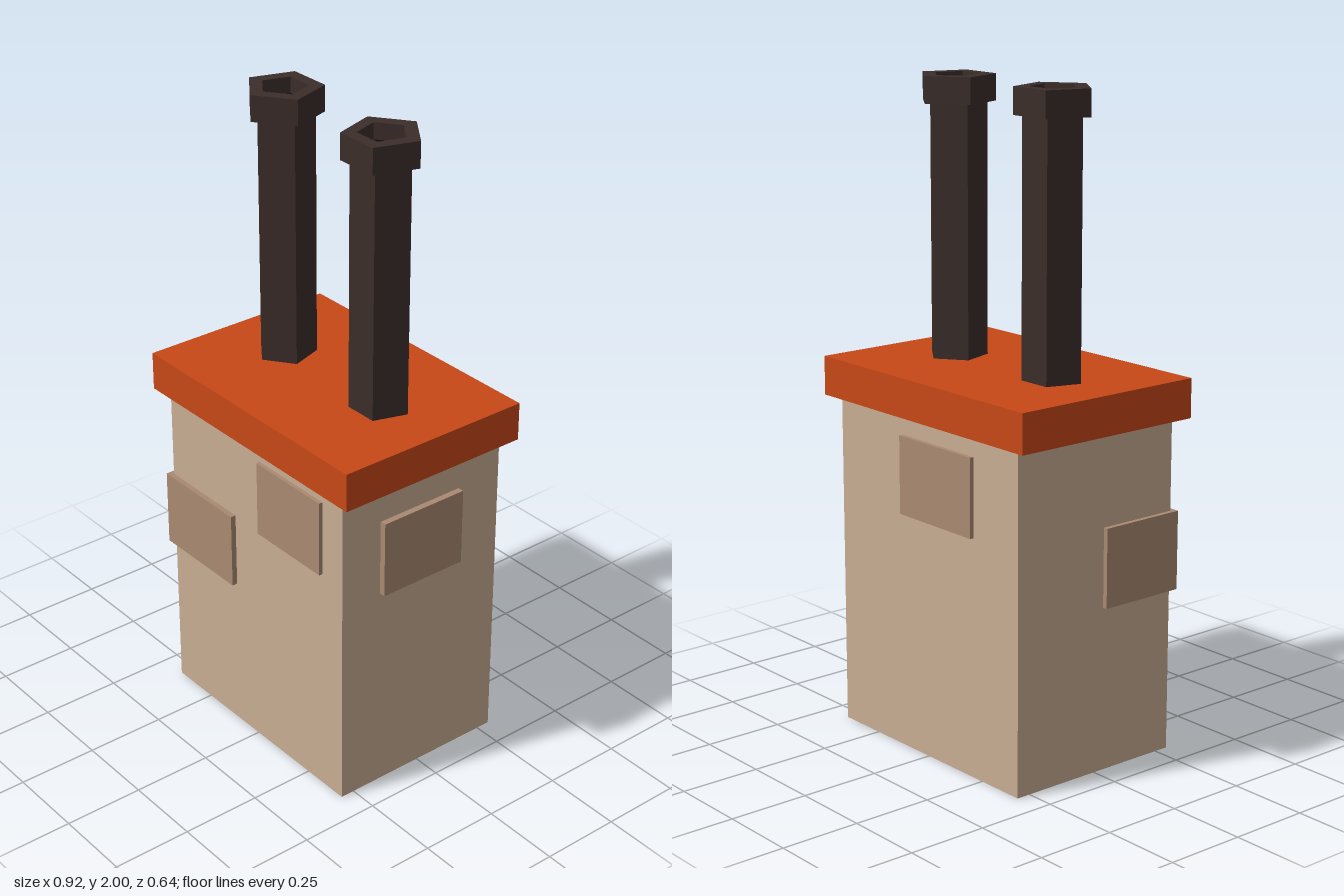
import * as THREE from 'three';

const material = (color) => new THREE.MeshStandardMaterial({ color, flatShading: true });

export function createModel() {
  const model = new THREE.Group();
  const wall = material(0xc9ae93);
  const brick = material(0xaa8a72);
  const slab = material(0xc84817);
  const clay = material(0x3b2d2a);
  const soot = material(0x0d0d0d);

  // Box given by its lowest and highest corner
  const box = (name, mat, [x0, y0, z0], [x1, y1, z1]) => {
    const mesh = new THREE.Mesh(new THREE.BoxGeometry(x1 - x0, y1 - y0, z1 - z0), mat);
    mesh.position.set((x0 + x1) / 2, (y0 + y1) / 2, (z0 + z1) / 2);
    mesh.name = name;
    model.add(mesh);
  };

  // Stack and overhanging cap
  box('stack', wall, [-0.41, 0, -0.295], [0.41, 1.035, 0.295]);
  box('cap', slab, [-0.46, 1.035, -0.322], [0.46, 1.155, 0.322]);

  // Raised bricks; the corner one wraps from the front onto the right side
  box('cornerBrick', brick, [-0.425, 0.505, 0.03], [-0.095, 0.748, 0.312]);
  box('frontBrick', brick, [0.03, 0.75, 0.2], [0.32, 0.99, 0.307]);
  box('leftBrick', brick, [0.3, 0.672, -0.14], [0.43, 0.915, 0.155]);
  box('backBrick', brick, [-0.215, 0.735, -0.308], [0.112, 0.975, -0.2]);

  // Five-sided pots: shaft, collar, rim and hollow mouth
  const lathe = (points) =>
    new THREE.LatheGeometry(points.map(([r, y]) => new THREE.Vector2(r, y)), 5);
  const mouthFloor = 1.95;
  const potShape = lathe([
    [0.092, 1.15], [0.092, 1.92], [0.118, 1.92], [0.118, 2], [0.073, 2], [0.073, mouthFloor],
  ]);
  const floorShape = lathe([[0.073, mouthFloor], [0, mouthFloor]]);

  for (const side of [-1, 1]) {
    const pot = new THREE.Group();
    pot.name = side > 0 ? 'leftPot' : 'rightPot';
    const shaft = new THREE.Mesh(potShape, clay);
    shaft.name = 'potWall';
    const floor = new THREE.Mesh(floorShape, soot);
    floor.name = 'potMouth';
    pot.add(shaft, floor);
    pot.position.x = side * 0.22;
    pot.rotation.y = side > 0 ? Math.PI : 0;
    model.add(pot);
  }
  return model;
}
